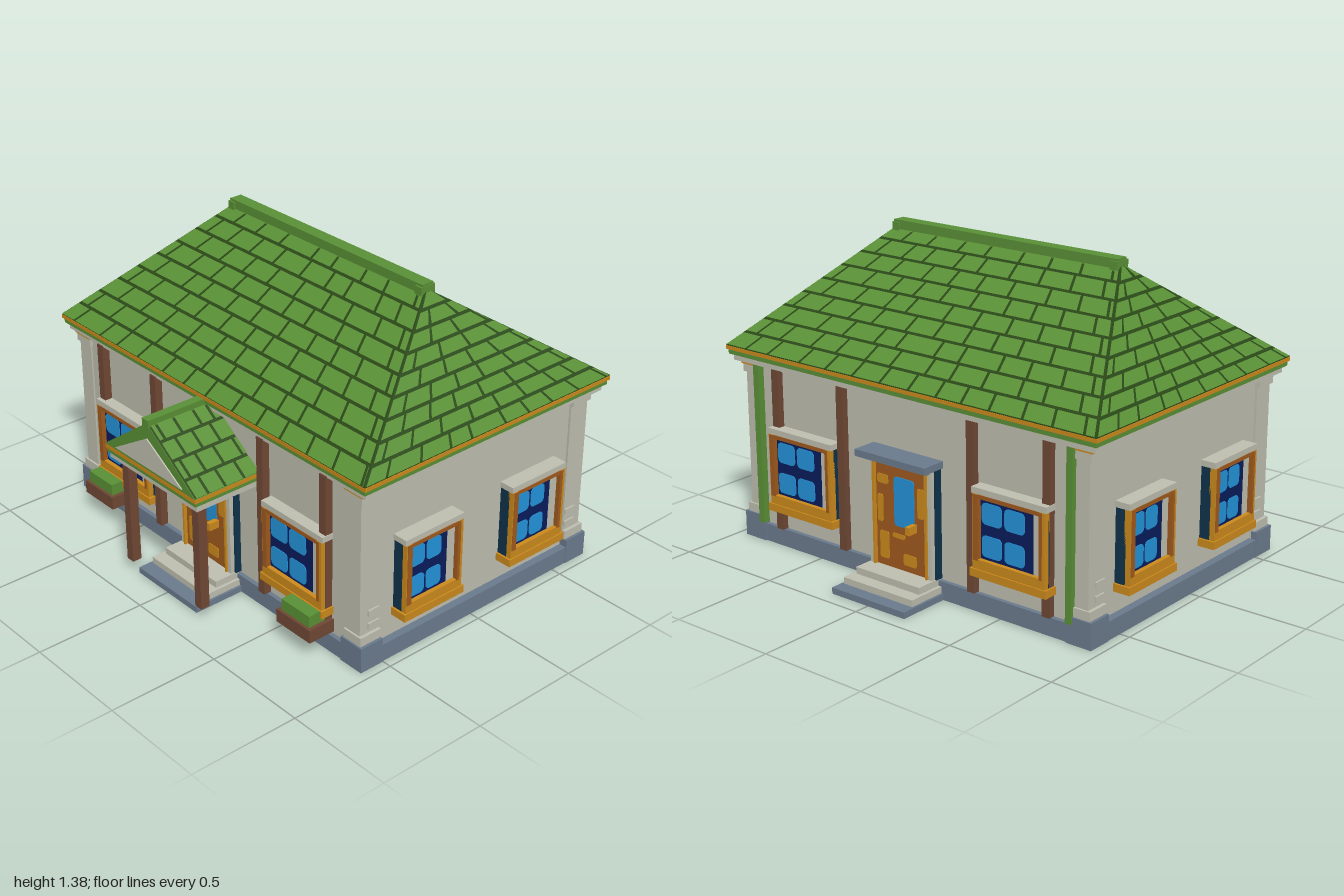
import * as THREE from 'three';

const mat = (name, color) => {
  const m = new THREE.MeshStandardMaterial({ color });
  m.name = name;
  return m;
};

export function createModel() {
  const wall = mat('plaster', 0xbebeb0), slate = mat('slate', 0x6b7b8d);
  const green = mat('tileGreen', 0x5a9036), dark = mat('jointGreen', 0x2a4818);
  const brown = mat('timber', 0x704834), gold = mat('goldTrim', 0xcc8a1c);
  const wood = mat('doorWood', 0xa05a1e), navy = mat('windowNavy', 0x091c5c);
  const blue = mat('glassBlue', 0x2494da), teal = mat('frameTeal', 0x0f324a);

  const house = new THREE.Group();
  house.name = 'house';

  const add = (parent, name, geo, m) => {
    const mesh = new THREE.Mesh(geo, m);
    mesh.name = name;
    parent.add(mesh);
    return mesh;
  };
  // Box given by its extents on each axis
  const box = (parent, name, m, x0, x1, y0, y1, z0, z1) => {
    const geo = new THREE.BoxGeometry(Math.abs(x1 - x0), y1 - y0, Math.abs(z1 - z0));
    add(parent, name, geo, m).position.set((x0 + x1) / 2, (y0 + y1) / 2, (z0 + z1) / 2);
  };
  // Thin plate with rounded corners, facing +z
  const plate = (parent, name, m, x0, x1, y0, y1, z, r) => {
    const s = new THREE.Shape();
    s.absarc(x1 - r, y1 - r, r, 0, Math.PI / 2);
    s.absarc(x0 + r, y1 - r, r, Math.PI / 2, Math.PI);
    s.absarc(x0 + r, y0 + r, r, Math.PI, Math.PI * 1.5);
    s.absarc(x1 - r, y0 + r, r, Math.PI * 1.5, Math.PI * 2);
    const geo = new THREE.ExtrudeGeometry(s, { depth: 0.005, bevelEnabled: false, curveSegments: 4 });
    add(parent, name, geo, m).position.z = z;
  };
  const group = (name, x, z, turn) => {
    const g = new THREE.Group();
    g.name = name;
    g.position.set(x, 0, z);
    g.rotation.y = turn;
    house.add(g);
    return g;
  };

  let seed = 7;
  const rand = () => (seed = (seed * 16807) % 2147483647) / 2147483647;

  // Tiled slope: a, b are the eave ends and c, d the ridge ends (counter-clockwise)
  const slope = (name, a, b, c, d, rows, tileWidth) => {
    const [A, B, C, D] = [a, b, c, d].map(p => new THREE.Vector3(...p));
    const normal = B.clone().sub(A).cross(D.clone().sub(A)).normalize();
    const at = (u, t, lift) => A.clone().lerp(B, u).lerp(D.clone().lerp(C, u), t).addScaledVector(normal, lift);
    const quads = (list, lift) => {
      const pos = [];
      for (const [u0, u1, t0, t1] of list) {
        const q = [at(u0, t0, lift), at(u1, t0, lift), at(u1, t1, lift), at(u0, t1, lift)];
        for (const i of [0, 1, 2, 0, 2, 3]) pos.push(q[i].x, q[i].y, q[i].z);
      }
      const geo = new THREE.BufferGeometry();
      geo.setAttribute('position', new THREE.Float32BufferAttribute(pos, 3));
      geo.computeVertexNormals();
      return geo;
    };
    const height = A.clone().lerp(B, 0.5).distanceTo(D.clone().lerp(C, 0.5));
    const tiles = [];
    for (let r = 0; r < rows; r++) {
      const t0 = r / rows, t1 = (r + 1) / rows - 0.014 / height;
      const width = at(0, (t0 + t1) / 2, 0).distanceTo(at(1, (t0 + t1) / 2, 0));
      const n = Math.max(1, Math.round(width / tileWidth)), gap = 0.0065 / width;
      const cuts = [0];
      for (let i = 0; i < n; i++) cuts.push((i + (r % 2 ? 0.45 : 0.8) + (rand() - 0.5) * 0.3) / n);
      cuts.push(1);
      for (let i = 0; i <= n; i++) tiles.push([cuts[i] + gap, cuts[i + 1] - gap, t0, t1]);
    }
    add(house, name + 'Joints', quads([[0, 1, 0, 1]], 0), dark);
    add(house, name + 'Tiles', quads(tiles.filter(t => t[1] > t[0]), 0.004), green);
  };

  // Foundation and walls
  box(house, 'foundation', slate, -0.955, 0.955, 0, 0.08, -0.69, 0.615);
  box(house, 'walls', wall, -0.92, 0.92, 0.08, 0.83, -0.67, 0.595);

  for (const s of [-1, 1]) {
    // Corner pillars with pedestals and capitals
    for (const [zOut, k] of [[0.603, -1], [-0.68, 1]]) {
      const tier = (name, m, out, inner, y0, y1) =>
        box(house, name, m, s * (0.93 + out), s * inner, y0, y1, zOut - k * out * 0.6, zOut + k * 0.1);
      tier('cornerPillar', wall, 0, 0.85, 0.08, 0.82);
      tier('cornerPedestal', slate, 0.028, 0.835, 0, 0.115);
      tier('cornerPlinth', wall, 0.015, 0.845, 0.115, 0.155);
      tier('cornerCapital', wall, 0.012, 0.845, 0.765, 0.8);
      tier('capitalBand', gold, 0.018, 0.84, 0.8, 0.814);
      for (const y of [0.175, 0.235])
        box(house, 'quoin', wall, s * 0.92, s * 0.938, y, y + 0.026, zOut + k * 0.04, zOut + k * 0.098);
    }
    box(house, 'sideFrieze', gold, s * 0.92, s * 0.932, 0.802, 0.812, -0.66, 0.59);
    // Drainpipes at the back
    box(house, 'drainpipe', green, s * 0.835, s * 0.865, 0.085, 0.82, -0.703, -0.67);
    // Timber uprights, front and back
    for (const x of [0.355, 0.738]) {
      box(house, 'frontTimber', brown, s * (x - 0.019), s * (x + 0.019), 0.08, 0.82, 0.58, 0.631);
      box(house, 'backTimber', brown, s * (x - 0.019), s * (x + 0.019), 0.08, 0.82, -0.7, -0.66);
    }
    // Planters
    box(house, 'planter', brown, s * 0.567, s * 0.773, 0.095, 0.155, 0.6, 0.728);
    box(house, 'planterHedge', green, s * 0.585, s * 0.755, 0.155, 0.208, 0.6, 0.715);
  }

  // Eaves
  box(house, 'eaveCornice', wall, -0.975, 0.975, 0.815, 0.843, -0.71, 0.625);
  box(house, 'eaveGutter', green, -0.99, 0.99, 0.843, 0.865, -0.725, 0.64);
  box(house, 'eaveGold', gold, -0.998, 0.998, 0.865, 0.882, -0.733, 0.648);
  box(house, 'eaveEdge', dark, -0.995, 0.995, 0.882, 0.888, -0.731, 0.646);

  // Hipped roof
  const e = 0.886, top = 1.355, zf = 0.648, zb = -0.733, zr = -0.04, rx = 0.6;
  const FL = [-0.995, e, zf], FR = [0.995, e, zf], BL = [-0.995, e, zb], BR = [0.995, e, zb];
  const RL = [-rx, top, zr], RR = [rx, top, zr];
  slope('frontRoof', FL, FR, RR, RL, 9, 0.155);
  slope('backRoof', BR, BL, RL, RR, 9, 0.155);
  slope('rightRoof', BL, FL, RL, RL, 9, 0.15);
  slope('leftRoof', FR, BR, RR, RR, 9, 0.15);
  box(house, 'ridgeBeam', green, -0.605, 0.605, 1.325, 1.38, zr - 0.03, zr + 0.03);
  for (const s of [-1, 1]) box(house, 'ridgeEnd', green, s * 0.57, s * 0.608, 1.33, 1.37, zr - 0.038, zr + 0.038);

  // Windows, built facing +z on the wall plane
  const makeWindow = (name, x, z, turn, w) => {
    const g = group(name, x, z, turn), h = w / 2;
    box(g, 'casing', teal, -h, h, 0.2, 0.53, -0.02, 0.036);
    box(g, 'lintel', wall, -h - 0.005, h + 0.005, 0.527, 0.553, -0.02, 0.058);
    box(g, 'sill', gold, -h - 0.01, h + 0.01, 0.175, 0.209, -0.02, 0.066);
    for (const s of [-1, 1]) {
      box(g, 'frameSide', gold, s * (h - 0.028), s * h, 0.209, 0.527, 0.03, 0.06);
      box(g, 'frameFacing', wood, s * (h - 0.029), s * (h - (s < 0 ? 0.004 : 0.014)), 0.245, 0.525, 0.034, 0.062);
    }
    box(g, 'frameTop', wood, -h + 0.028, h - 0.028, 0.51, 0.527, 0.03, 0.061);
    box(g, 'frameBottom', gold, -h + 0.028, h - 0.028, 0.209, 0.25, 0.03, 0.06);
    const l = -h + 0.028, r = h - 0.07, span = r - l;
    box(g, 'windowBack', navy, l, r, 0.25, 0.51, 0.033, 0.04);
    box(g, 'jamb', wall, r, h - 0.028, 0.25, 0.51, 0.033, 0.041);
    for (const u of [0.03, 0.46]) for (const y of [0.262, 0.4])
      plate(g, 'pane', blue, l + u * span, l + (u + 0.38) * span, y, y + 0.092, 0.038, 0.02);
  };
  for (const s of [-1, 1]) {
    makeWindow('frontWindow', s * 0.573, 0.592, 0, 0.365);
    makeWindow('backWindow', s * 0.573, -0.67, Math.PI, 0.365);
    for (const z of [0.26, -0.34]) makeWindow('sideWindow', s * 0.933, z, s * Math.PI / 2, 0.31);
  }

  // Doors, built the same way
  const makeDoor = (name, z, turn) => {
    const g = group(name, 0, z, turn);
    box(g, 'doorCasing', teal, -0.178, 0.178, 0.085, 0.565, -0.01, 0.035);
    for (const s of [-1, 1]) {
      box(g, 'doorJamb', wall, s * 0.15, s * 0.17, 0.085, 0.565, 0.03, 0.055);
      box(g, 'doorStop', gold, s * 0.138, s * 0.148, 0.085, 0.55, 0.03, 0.062);
    }
    box(g, 'doorTop', wood, -0.148, 0.148, 0.55, 0.565, 0.03, 0.062);
    box(g, 'doorLeaf', wood, -0.138, 0.138, 0.085, 0.55, 0.03, 0.046);
    const inlays = [[-0.13, -0.07, 0.45, 0.49], [-0.13, -0.1, 0.28, 0.4], [-0.12, -0.07, 0.12, 0.24],
      [0.01, 0.08, 0.115, 0.165], [-0.05, 0.02, 0.225, 0.245], [0.09, 0.125, 0.34, 0.47]];
    for (const [x0, x1, y0, y1] of inlays) plate(g, 'doorInlay', gold, x0, x1, y0, y1, 0.044, 0.0095);
    plate(g, 'doorGlass', blue, -0.037, 0.072, 0.28, 0.495, 0.045, 0.015);
    box(g, 'doorHandle', gold, 0.062, 0.085, 0.275, 0.31, 0.04, 0.095);
    return g;
  };
  makeDoor('frontDoor', 0.59, 0);
  const backDoor = makeDoor('backDoor', -0.67, Math.PI);
  box(backDoor, 'doorCanopy', slate, -0.19, 0.19, 0.567, 0.597, -0.01, 0.115);
  box(backDoor, 'canopyMoulding', slate, -0.165, 0.165, 0.55, 0.567, -0.01, 0.07);

  // Steps, front and back
  for (const [base, reach] of [[0.58, [0.855, 0.79, 0.73]], [-0.66, [-0.93, -0.87, -0.81]]]) {
    box(house, 'bottomStep', slate, -0.2, 0.2, 0, 0.028, base, reach[0]);
    box(house, 'middleStep', wall, -0.19, 0.19, 0.028, 0.057, base, reach[1]);
    box(house, 'topStep', wall, -0.175, 0.175, 0.057, 0.087, base, reach[2]);
  }

  // Portico
  for (const s of [-1, 1]) box(house, 'porchPost', brown, s * 0.217, s * 0.258, 0.055, 0.56, 0.83, 0.873);
  box(house, 'porchBeam', wall, -0.295, 0.295, 0.557, 0.585, 0.58, 0.905);
  box(house, 'porchGutter', green, -0.3, 0.3, 0.585, 0.604, 0.58, 0.915);
  box(house, 'porchGold', gold, -0.305, 0.305, 0.604, 0.624, 0.58, 0.92);
  const gable = (name, m, half, y0, y1, z, depth) => {
    const shape = new THREE.Shape([[-half, y0], [half, y0], [0, y1]].map(p => new THREE.Vector2(...p)));
    add(house, name, new THREE.ExtrudeGeometry(shape, { depth, bevelEnabled: false }), m).position.z = z;
  };
  gable('porchGable', green, 0.305, 0.624, 0.845, 0.57, 0.35);
  gable('pediment', wall, 0.225, 0.638, 0.775, 0.919, 0.007);
  const g0 = 0.628, g1 = 0.848;
  slope('porchLeft', [0.306, g0, 0.92], [0.306, g0, 0.58], [0, g1, 0.58], [0, g1, 0.92], 4, 0.09);
  slope('porchRight', [-0.306, g0, 0.58], [-0.306, g0, 0.92], [0, g1, 0.92], [0, g1, 0.58], 4, 0.09);
  box(house, 'porchRidge', green, -0.02, 0.02, 0.83, 0.865, 0.58, 0.928);

  return house;
}
